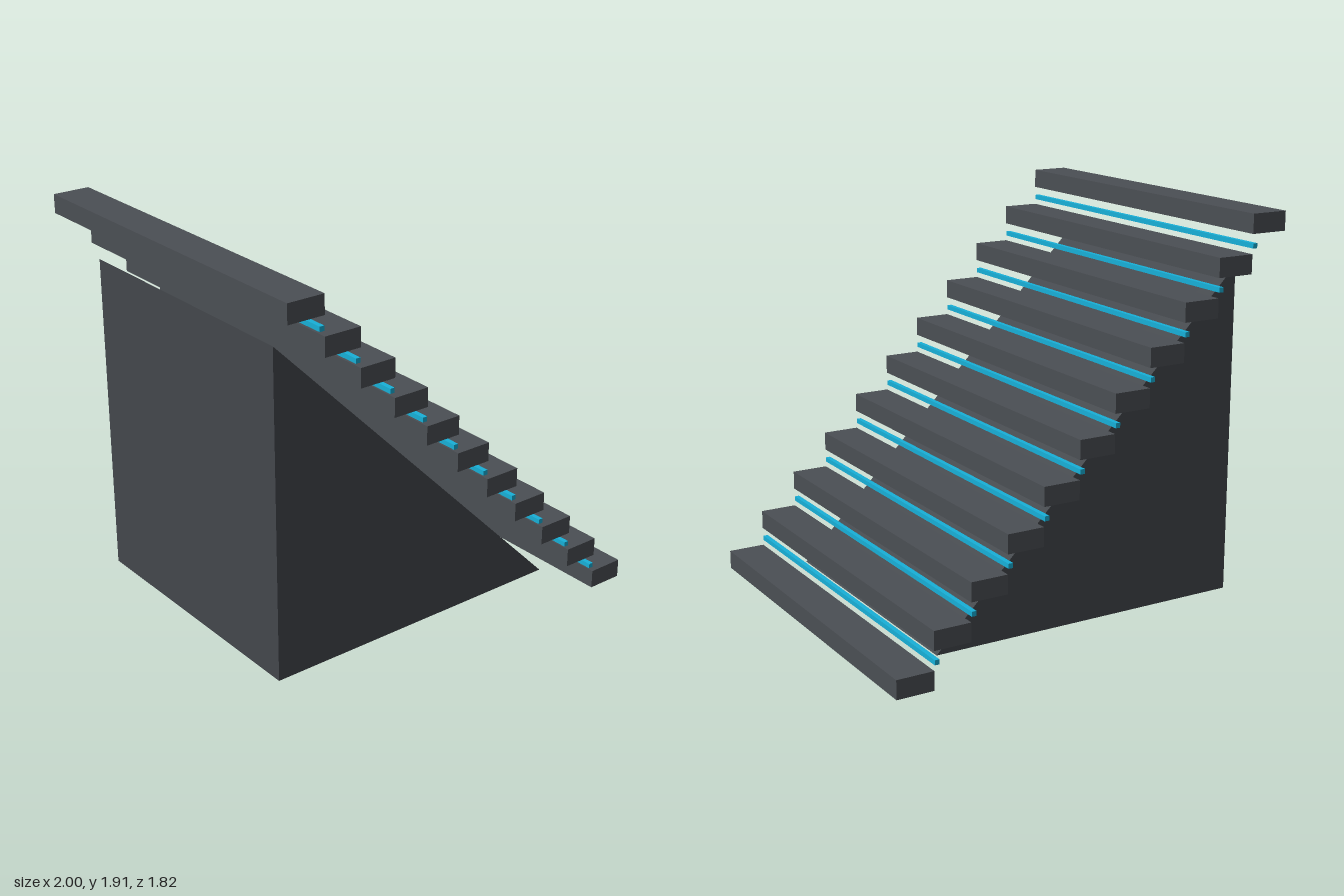
import * as THREE from 'three';

export function createModel() {
  const group = new THREE.Group();
  const stepMat = new THREE.MeshStandardMaterial({ color: 0x4b4f54 });
  const baseMat = new THREE.MeshStandardMaterial({ color: 0x43474c });
  const lightMat = new THREE.MeshStandardMaterial({ color: 0x18b0d8 });

  const count = 11;
  const run = 2 / count; // tread width and rise between treads
  const half = run / 2; // tread thickness
  const depth = run * 10;

  const add = (name, geometry, material, x, y, z = 0) => {
    const mesh = new THREE.Mesh(geometry, material);
    mesh.name = name;
    mesh.position.set(x, y, z);
    group.add(mesh);
  };

  // Floating treads climbing towards -x, with a light strip between each pair
  const treadGeo = new THREE.BoxGeometry(run, half, depth);
  const stripGeo = new THREE.BoxGeometry(0.023, 0.023, depth);
  for (let i = 0; i < count; i++) {
    const x = 1 - half - i * run;
    const y = half / 2 + i * run;
    add(`tread${i + 1}`, treadGeo, stepMat, x, y);
    if (i < count - 1) add(`lightStrip${i + 1}`, stripGeo, lightMat, x - 0.105, y + 0.082);
  }

  // Solid triangular support below the treads
  const left = -1 + half, right = 0.682, bottom = half / 2, top = 1.636;
  const profile = new THREE.Shape();
  profile.moveTo(left, bottom);
  profile.lineTo(right, bottom);
  profile.lineTo(left, top);
  profile.closePath();
  const width = 1.364;
  const wedgeGeo = new THREE.ExtrudeGeometry(profile, { depth: width, bevelEnabled: false });
  add('supportWedge', wedgeGeo, baseMat, 0, 0, -width / 2);

  return group;
}
